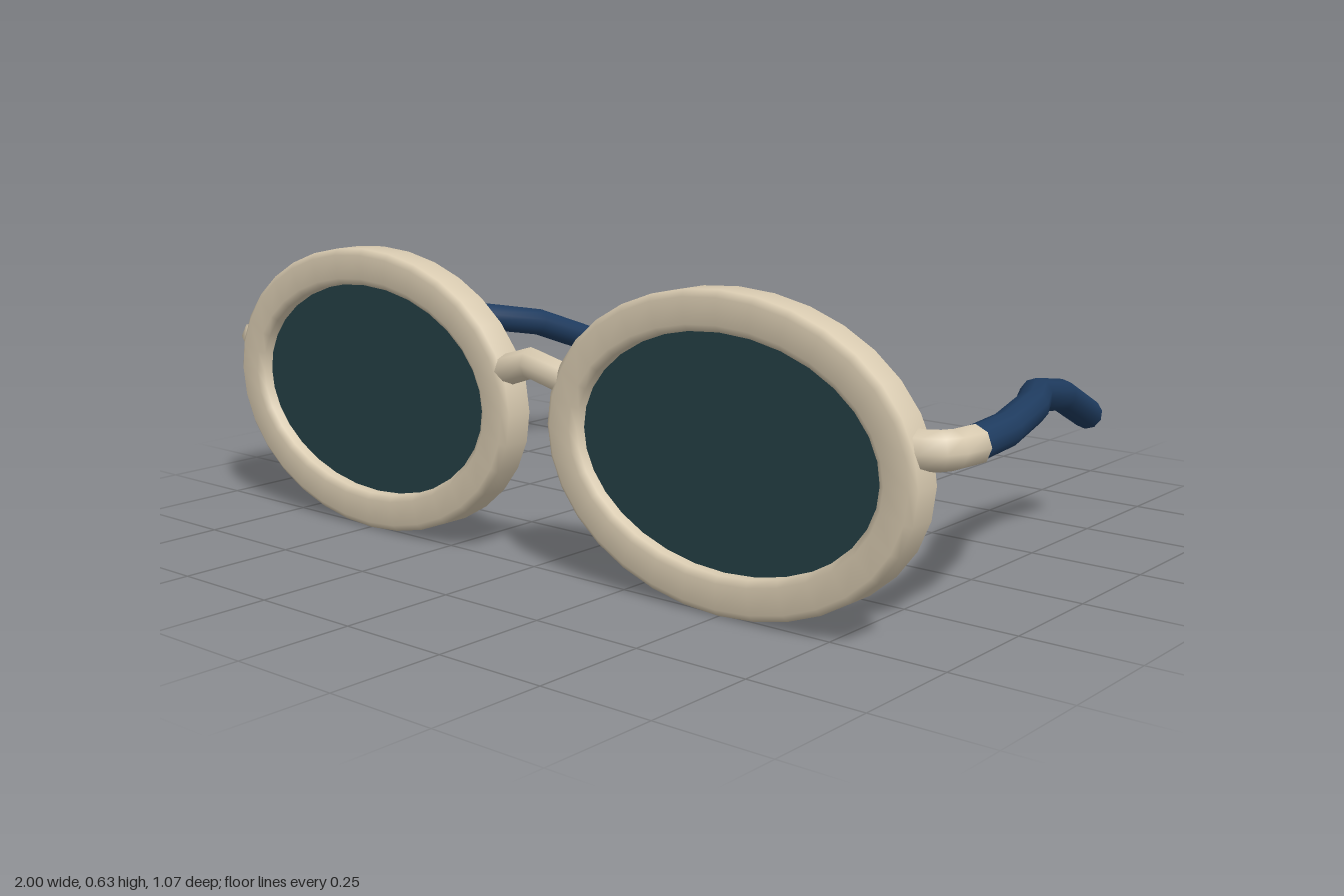
import * as THREE from 'three';

const cream = new THREE.MeshStandardMaterial({ color: 0xd8cab0 });
cream.name = 'creamFrame';
const navy = new THREE.MeshStandardMaterial({ color: 0x1f3c60 });
navy.name = 'navyArm';
const tint = new THREE.MeshStandardMaterial({ color: 0x243f45 });
tint.name = 'darkLens';

// regular polygon cross-section
function polygon(radius, sides) {
  return Array.from({ length: sides }, (_, i) => {
    const a = (i / sides) * Math.PI * 2;
    return [Math.cos(a) * radius, Math.sin(a) * radius];
  });
}

// sweep a cross-section along a polyline; ref fixes the roll of the section
function sweep(points, section, ref, closed = false) {
  const n = section.length, count = points.length;
  const pos = [], index = [];
  const rings = points.map((p, i) => {
    const prev = closed ? points[(i + count - 1) % count] : points[Math.max(i - 1, 0)];
    const next = closed ? points[(i + 1) % count] : points[Math.min(i + 1, count - 1)];
    const t = new THREE.Vector3();
    if (prev !== p) t.add(p.clone().sub(prev).normalize());
    if (next !== p) t.add(next.clone().sub(p).normalize());
    t.normalize();
    const u = ref.clone().addScaledVector(t, -ref.dot(t)).normalize();
    const v = t.clone().cross(u);
    return section.map(([a, b]) => p.clone().addScaledVector(u, a).addScaledVector(v, b));
  });
  rings.forEach(ring => ring.forEach(q => pos.push(q.x, q.y, q.z)));
  for (let i = 0; i < (closed ? count : count - 1); i++) {
    const r0 = i * n, r1 = ((i + 1) % count) * n;
    for (let j = 0; j < n; j++) {
      const k = (j + 1) % n;
      index.push(r0 + j, r0 + k, r1 + j, r0 + k, r1 + k, r1 + j);
    }
  }
  // flat end caps with their own vertices
  if (!closed) {
    for (const end of [0, count - 1]) {
      const base = pos.length / 3;
      rings[end].forEach(q => pos.push(q.x, q.y, q.z));
      for (let j = 1; j < n - 1; j++) {
        if (end === 0) index.push(base, base + j + 1, base + j);
        else index.push(base, base + j, base + j + 1);
      }
    }
  }
  const geo = new THREE.BufferGeometry();
  geo.setAttribute('position', new THREE.Float32BufferAttribute(pos, 3));
  geo.setIndex(index);
  geo.computeVertexNormals();
  return geo;
}

const path = (list, side = 1) => list.map(([x, y, z]) => new THREE.Vector3(x * side, y, z));
const UP = new THREE.Vector3(0, 1, 0);
const FRONT = new THREE.Vector3(0, 0, 1);

const LENS_X = 0.497, LENS_Y = 0.314, LENS_Z = 0.48;
const RIM_A = 0.402, RIM_B = 0.274;

// rounded-square section of the rim: [depth, radial]
const rimSection = [
  [0.04, -0.026], [0.04, 0.026], [0.03, 0.04], [-0.03, 0.04],
  [-0.04, 0.026], [-0.04, -0.026], [-0.03, -0.04], [0.03, -0.04],
];

const hingePath = [
  [0.89, 0.38, 0.474], [0.925, 0.38, 0.472], [0.948, 0.38, 0.458],
  [0.956, 0.378, 0.43], [0.962, 0.377, 0.365],
];
const armPath = [
  [0.959, 0.377, 0.375], [0.946, 0.379, 0.23], [0.9, 0.386, 0.05],
  [0.822, 0.376, -0.11], [0.768, 0.337, -0.315], [0.727, 0.256, -0.522],
];

export function createModel() {
  const model = new THREE.Group();
  model.name = 'sunglasses';
  const add = (name, geometry, material) => {
    const mesh = new THREE.Mesh(geometry, material);
    mesh.name = name;
    model.add(mesh);
    return mesh;
  };

  for (const [side, label] of [[1, 'left'], [-1, 'right']]) {
    // oval rim
    const oval = Array.from({ length: 32 }, (_, i) => {
      const a = (i / 32) * Math.PI * 2;
      return new THREE.Vector3(
        side * LENS_X + Math.cos(a) * RIM_A, LENS_Y + Math.sin(a) * RIM_B, LENS_Z);
    });
    add(label + 'Rim', sweep(oval, rimSection, FRONT, true), cream);

    // tinted lens
    const lensGeo = new THREE.CylinderGeometry(1, 1, 0.016, 32);
    lensGeo.rotateX(Math.PI / 2);
    lensGeo.scale(RIM_A - 0.03, RIM_B - 0.03, 1);
    add(label + 'Lens', lensGeo, tint).position.set(side * LENS_X, LENS_Y, LENS_Z);

    // hinge and folding arm
    add(label + 'Hinge', sweep(path(hingePath, side), polygon(0.038, 8), UP), cream);
    add(label + 'Arm', sweep(path(armPath, side), polygon(0.034, 10), UP), navy);
  }

  // nose bridge
  const bridge = path([[-0.11, 0.395, 0.48], [-0.075, 0.408, 0.487], [0, 0.431, 0.499],
    [0.075, 0.408, 0.487], [0.11, 0.395, 0.48]]);
  add('bridge', sweep(bridge, polygon(0.033, 8), UP), cream);

  return model;
}
